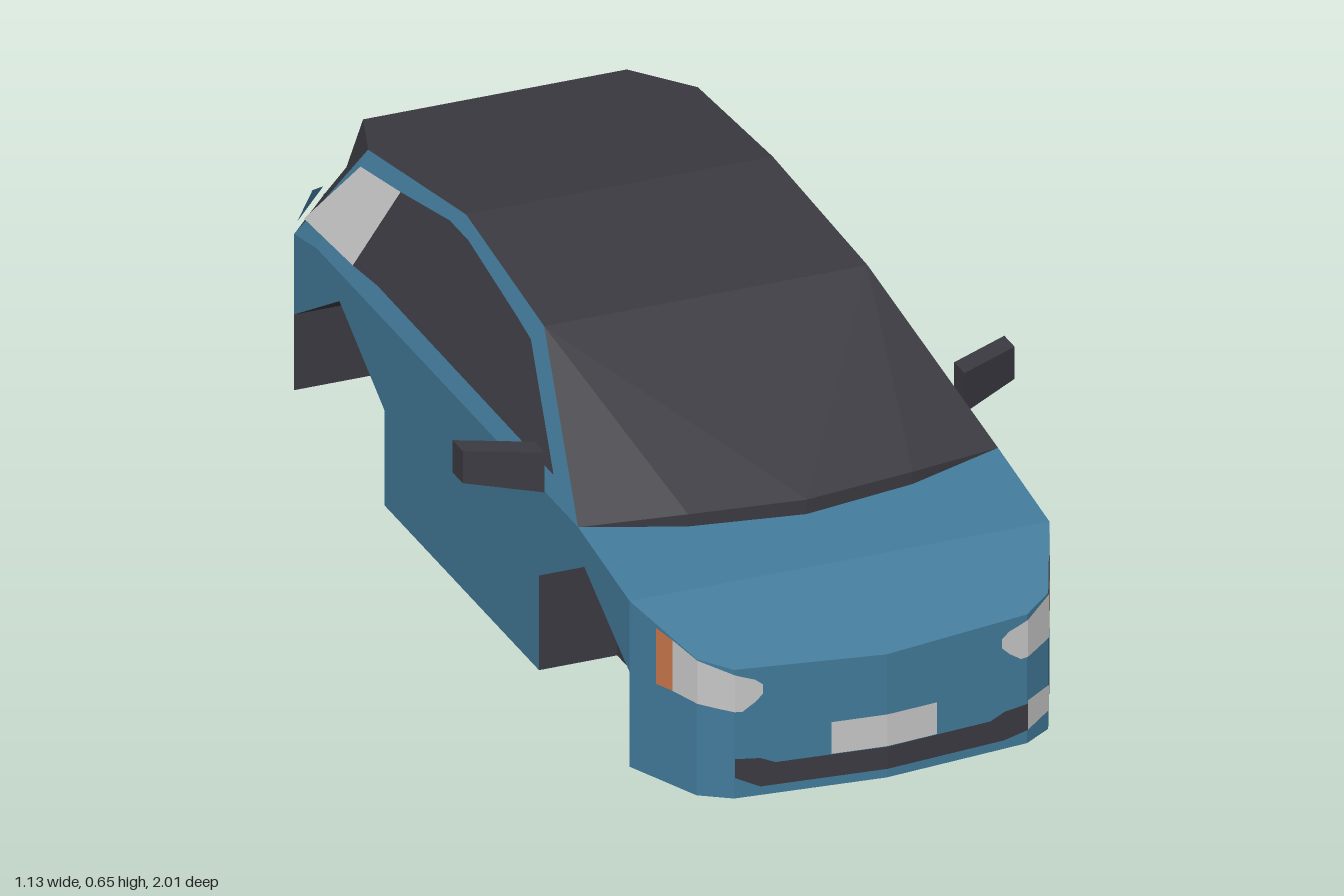
import * as THREE from 'three';

const mat = (name, color) => new THREE.MeshStandardMaterial({ name, color, side: THREE.DoubleSide });
const V = (x, y, z) => new THREE.Vector3(x, y, z);
const CORE = V(0, 0.25, 0);

// Flat-shaded panel from convex polygons; faces point away from ref (or towards it when sign is -1)
function panel(name, material, polys, ref = CORE, sign = 1) {
  const pos = [];
  for (const p of polys) {
    for (let i = 1; i < p.length - 1; i++) {
      const t = [V(...p[0]), V(...p[i]), V(...p[i + 1])];
      const n = t[1].clone().sub(t[0]).cross(t[2].clone().sub(t[0]));
      const c = t[0].clone().add(t[1]).add(t[2]).divideScalar(3).sub(ref);
      if (n.dot(c) * sign < 0) t.reverse();
      t.forEach(v => pos.push(v.x, v.y, v.z));
    }
  }
  const g = new THREE.BufferGeometry();
  g.setAttribute('position', new THREE.Float32BufferAttribute(pos, 3));
  g.computeVertexNormals();
  const m = new THREE.Mesh(g, material);
  m.name = name;
  return m;
}

// Quads between two equally long rows of points
const loft = (a, b) => a.slice(1).map((_, i) => [a[i], a[i + 1], b[i + 1], b[i]]);

// Triangles of a side outline given as [z, y], placed at x = xOf(y)
function sideFaces(outline, s, xOf) {
  const pts = outline.map(([z, y]) => new THREE.Vector2(z, y));
  return THREE.ShapeUtils.triangulateShape(pts, [])
    .map(t => t.map(i => [s * xOf(pts[i].y), pts[i].y, pts[i].x]));
}

// Plan curve of the nose
const NOSE = [[0, 1], [0.3, 0.97], [0.36, 0.93], [0.43, 0.77]];
function noseZ(x) {
  x = Math.abs(x);
  const i = x <= 0.3 ? 0 : x <= 0.36 ? 1 : 2;
  const [x0, z0] = NOSE[i], [x1, z1] = NOSE[i + 1];
  return z0 + (z1 - z0) * (x - x0) / (x1 - x0);
}
const noseTop = z => 0.35 - 0.09 * (z - 0.77) / 0.23;

// Thin detail wrapped on the nose from stations [x, yLow, yHigh]
const noseStrip = (st, s = 1) => loft(
  st.map(([x, y]) => [s * x, y, noseZ(x) + 0.004]),
  st.map(([x, , y]) => [s * x, y, noseZ(x) + 0.004]));

// Plane of the cabin side, and the tail plane
const cabinX = y => 0.43 - 0.45 * (y - 0.39);
const tailZ = y => -0.985 - 0.015 * (y - 0.04) / 0.325;

export function createModel() {
  const car = new THREE.Group();
  car.name = 'car';
  const blue = mat('blue paint', 0x427a9a);
  const dark = mat('dark trim', 0x3b3a41);
  const light = mat('light grey', 0xc6c6c6);
  const orange = mat('orange lamp', 0xc9764a);
  const add = (...a) => { const m = panel(...a); car.add(m); return m; };
  const both = p => [...p.slice(1).reverse().map(([x, ...r]) => [-x, ...r]), ...p];

  // Nose, sloped bonnet edge and bonnet
  const nose = both(NOSE);
  const low = nose.map(([x, z]) => [x, 0, z]);
  const top = nose.map(([x, z]) => [x, noseTop(z), z]);
  add('frontBumper', blue, loft(low, top));
  add('bonnetEdge', blue, [top]);
  const bonnetY = z => 0.35 + 0.16 * (0.77 - z);
  const base = both([[0, 0.61], [0.23, 0.58], [0.43, 0.52]]);
  const bonnetBack = base.map(([x, z]) => [x, bonnetY(z), z]);
  add('bonnet', blue, [[[-0.43, 0.35, 0.77], [0.43, 0.35, 0.77], ...bonnetBack.slice().reverse()]]);

  // Windscreen with raised cowl
  const cowl = base.map(([x, z]) => [x, Math.abs(x) > 0.4 ? 0.39 : 0.406, z]);
  add('cowl', dark, loft(bonnetBack, cowl));
  const roofLine = [[0.12, 0.61], [-0.3, 0.648], [-0.72, 0.595]];
  const roofEdge = s => roofLine.map(([z, y]) => [s * cabinX(y), y, z]);
  const R = roofEdge(1), L = roofEdge(-1);
  add('windscreen', dark, [
    [L[0], R[0], cowl[2]],
    [R[0], cowl[2], cowl[3]], [R[0], cowl[3], cowl[4]],
    [L[0], cowl[2], cowl[1]], [L[0], cowl[1], cowl[0]]]);

  // Roof, spoiler and rear window
  const tip = s => [s * 0.27, 0.56, -0.905];
  const lip = s => [s * 0.3, 0.46, -0.915];
  const tail = s => [s * 0.31, 0.365, -1];
  const belt = s => [s * 0.43, 0.37, -0.86];
  add('roof', dark, loft(L, R));
  add('spoiler', dark, [[L[2], R[2], tip(1), tip(-1)], [tip(-1), tip(1), lip(1), lip(-1)]]);
  add('rearWindow', dark, [[lip(-1), lip(1), tail(1), tail(-1)]]);

  // Tail panel, dark tailgate and number plate
  add('rearBumper', blue, [[[-0.31, 0.04, -0.985], [0.31, 0.04, -0.985], tail(1), tail(-1)]]);
  const onTail = (pts, off) => pts.map(([x, y]) => [x, y, tailZ(y) - off]);
  add('tailgate', dark, [onTail([[-0.31, 0.365], [0.31, 0.365], [0.31, 0.28],
    [0.25, 0.21], [-0.25, 0.21], [-0.31, 0.28]], 0.003)]);
  add('rearPlate', light, [onTail([[-0.13, 0.285], [-0.12, 0.275], [0.12, 0.275], [0.13, 0.285],
    [0.13, 0.33], [0.12, 0.34], [-0.12, 0.34], [-0.13, 0.33]], 0.006)]);
  add('cornerPatch', blue, [[[-0.41, 0.378, -0.892], [-0.325, 0.374, -0.995],
    [-0.325, 0.4, -0.968], [-0.365, 0.42, -0.925]]]);

  // Front details
  add('grille', dark, noseStrip([[-0.3, 0.045, 0.085], [-0.25, 0.02, 0.08], [-0.22, 0.02, 0.067],
    [0, 0.02, 0.067], [0.22, 0.02, 0.067], [0.25, 0.02, 0.08], [0.3, 0.03, 0.085]]));
  add('frontPlate', light, noseStrip([[-0.11, 0.068, 0.135], [0, 0.068, 0.135], [0.106, 0.068, 0.135]]));
  add('fogLamp', light, noseStrip([[0.3, 0.03, 0.092], [0.36, 0.042, 0.095], [0.367, 0.045, 0.09]]));

  // Underbody
  const foot = z => z >= -0.64 ? 0 : Math.min(0.04, (-0.64 - z) * 0.04 / 0.22);
  const floor = (x0, x1, z0, z1, x2 = x0, x3 = x1) => [
    [x0, foot(z0), z0], [x1, foot(z0), z0], [x3, foot(z1), z1], [x2, foot(z1), z1]];
  const IN = 0.27;
  add('underbody', dark, [low, floor(-IN, IN, 0.77, -0.64), floor(-IN, IN, -0.64, -0.86),
    floor(IN, 0.43, 0.33, -0.42), floor(-0.43, -IN, 0.33, -0.42),
    floor(-0.43, 0.43, -0.86, -0.985, -0.31, 0.31)]);

  const arches = {
    front: [[0.77, 0], [0.77, 0.2], [0.55, 0.32], [0.33, 0.2], [0.33, 0]],
    rear: [[-0.42, 0], [-0.42, 0.2], [-0.64, 0.33], [-0.86, 0.2], [-0.86, 0.04], [-0.64, 0]],
  };

  for (const s of [1, -1]) {
    const side = s > 0 ? 'left' : 'right';

    // Lower body side with arch cut-outs
    add(side + 'BodySide', blue, sideFaces([[0.77, 0.2], [0.77, 0.35], [0.52, 0.39], [-0.75, 0.39],
      [-0.86, 0.37], [-0.86, 0.2], [-0.64, 0.33], [-0.42, 0.2], [-0.42, 0], [0.33, 0],
      [0.33, 0.2], [0.55, 0.32]], s, () => 0.43));

    // Open wheel wells
    for (const [end, arch] of Object.entries(arches)) {
      const rim = arch.slice(0, 5);
      const polys = loft(rim.map(([z, y]) => [s * 0.43, y, z]), rim.map(([z, y]) => [s * IN, y, z]));
      polys.push(...sideFaces(arch, s, () => IN));
      add(`${side}${end}WheelWell`, dark, polys, V(s * 0.38, 0.12, end === 'front' ? 0.55 : -0.64), -1);
    }

    // Cabin side frame and side windows
    add(side + 'CabinFrame', blue, sideFaces([[0.52, 0.39], ...roofLine, [-0.86, 0.37], [-0.75, 0.39]],
      s, y => Math.min(0.43, cabinX(y))));
    const glassX = y => cabinX(y) + 0.004;
    add(side + 'SideWindow', dark, sideFaces([[0.37, 0.428], [0.1, 0.577], [0.02, 0.588], [-0.25, 0.62],
      [-0.34, 0.62], [-0.545, 0.588], [-0.6, 0.422], [-0.49, 0.43]], s, glassX));
    add(side + 'QuarterWindow', light, sideFaces([[-0.545, 0.588], [-0.715, 0.565], [-0.83, 0.415],
      [-0.6, 0.422]], s, glassX));

    // Rear pillar
    const P = s > 0 ? R[2] : L[2];
    add(side + 'RearPillar', dark, [[P, belt(s), lip(s)], [belt(s), tail(s), lip(s)], [P, lip(s), tip(s)]]);

    // Chamfered rear corner with tail lamp
    const mid = [[s * 0.43, 0.28, -0.86], [s * 0.31, 0.28, tailZ(0.28)]];
    add(side + 'RearCorner', blue, [[[s * 0.43, 0.04, -0.86], [s * 0.31, 0.04, -0.985], mid[1], mid[0]]]);
    add(side + 'TailLamp', orange, [[mid[0], mid[1], tail(s), belt(s)]]);

    // Headlamp and indicator
    add(side + 'Headlamp', light, noseStrip([[0.245, 0.215, 0.235], [0.26, 0.2, 0.247], [0.285, 0.183, 0.256],
      [0.3, 0.184, 0.262], [0.325, 0.188, 0.272], [0.36, 0.195, 0.286], [0.386, 0.2, 0.307]], s));
    add(side + 'Indicator', orange, noseStrip([[0.386, 0.2, 0.307], [0.403, 0.2, 0.318]], s));

    // Swept-back door mirror
    const rowY = [[0.43, 0.388, 0.472, 0.357], [0.565, 0.398, 0.466, 0.28]];
    const ring = ([x, y0, y1, z]) => [[s * x, y0, z], [s * x, y1, z], [s * x, y1, z - 0.05], [s * x, y0, z - 0.05]];
    const a = ring(rowY[0]), b = ring(rowY[1]);
    add(side + 'Mirror', dark, [...loft([...a, a[0]], [...b, b[0]]), a, b], V(s * 0.4975, 0.43, 0.294));
    add(side + 'MirrorGlass', light, [[[s * 0.44, 0.4, 0.298], [s * 0.44, 0.46, 0.298],
      [s * 0.555, 0.457, 0.232], [s * 0.555, 0.407, 0.232]]], V(s * 0.4975, 0.43, 0.3));
  }
  return car;
}
